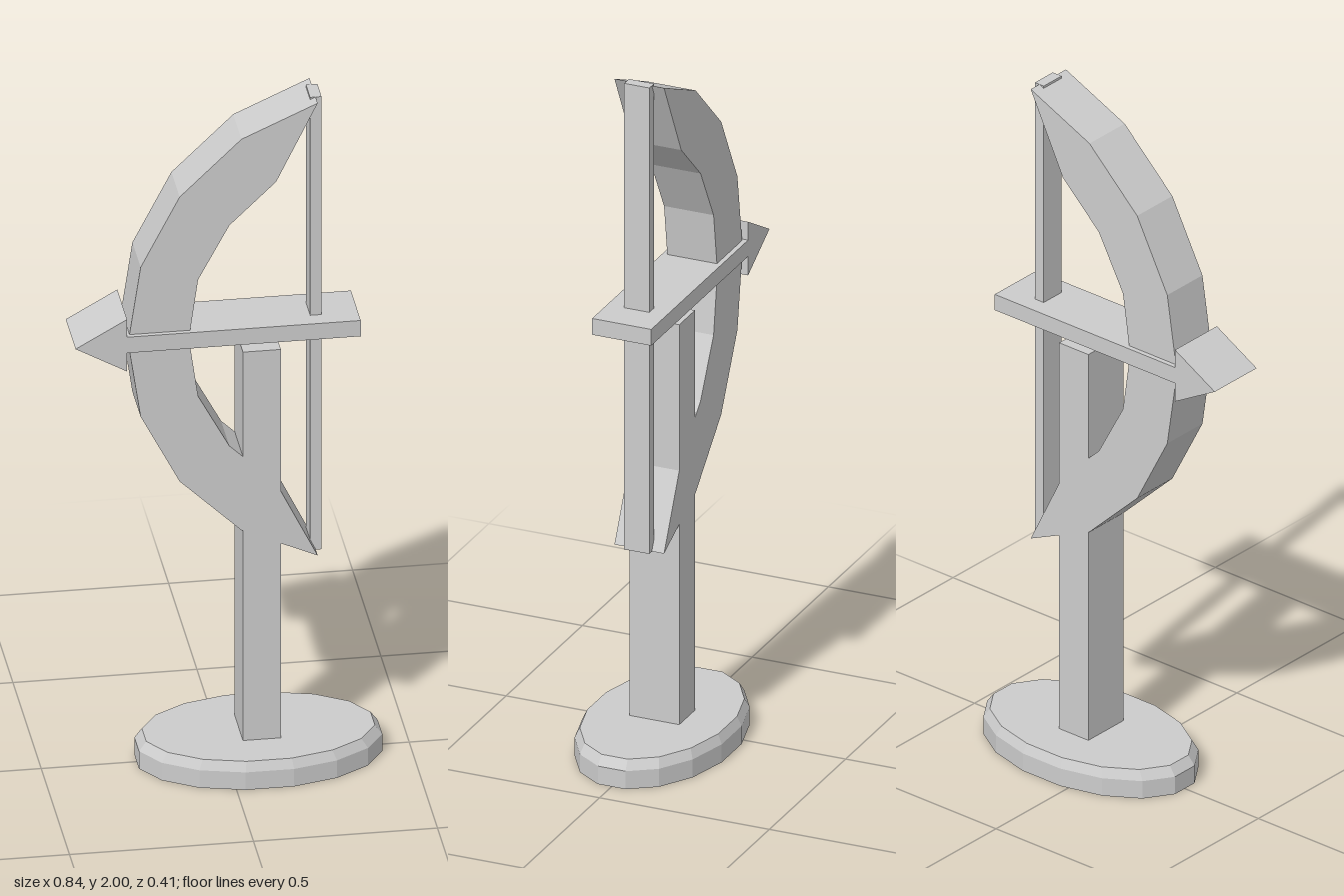
import * as THREE from 'three';

export function createModel() {
  const model = new THREE.Group();
  model.name = 'bowStatue';
  const grey = new THREE.MeshStandardMaterial({ color: 0xcccccc, flatShading: true });
  grey.name = 'light grey';

  const add = (name, geometry) => {
    const mesh = new THREE.Mesh(geometry, grey);
    mesh.name = name;
    model.add(mesh);
    return mesh;
  };
  const box = (name, x0, x1, y0, y1, halfDepth) =>
    add(name, new THREE.BoxGeometry(x1 - x0, y1 - y0, halfDepth * 2))
      .position.set((x0 + x1) / 2, (y0 + y1) / 2, 0);
  // Flat outline in x/y, extruded evenly about z = 0
  const slab = (name, points, halfDepth) => {
    const shape = new THREE.Shape(points.map(([x, y]) => new THREE.Vector2(x, y)));
    const geometry = new THREE.ExtrudeGeometry(shape, { depth: halfDepth * 2, bevelEnabled: false });
    add(name, geometry.translate(0, 0, -halfDepth));
  };

  // Oval base with a chamfered rim
  const rim = [[0, 0], [1, 0], [1, 0.053], [0.94, 0.08], [0, 0.08]];
  const base = new THREE.LatheGeometry(rim.map(([r, y]) => new THREE.Vector2(r, y)), 16);
  base.rotateY(Math.PI / 16).scale(0.337, 1, 0.209).translate(0.09, 0, 0);
  add('base', base);

  // Upright post
  box('post', 0.037, 0.14, 0.07, 1.26, 0.073);

  // Bow: upper half outline mirrored about the arrow line
  const mid = 1.313;
  const mirror = (pts) => pts.map(([x, y]) => [x, 2 * mid - y]).reverse();
  const outer = [[0.24, 2], [0.033, 1.907], [-0.135, 1.745], [-0.241, 1.54]];
  const inner = [[-0.085, 1.49], [0, 1.648], [0.127, 1.77]];
  slab('bow', [
    ...outer, [-0.275, mid], ...mirror(outer),
    ...mirror(inner), [-0.11, mid], ...inner,
  ], 0.073);

  // Bowstring
  box('bowstring', 0.225, 0.256, 0.625, 2, 0.037);

  // Arrow
  box('arrowShaft', -0.28, 0.355, 1.29, 1.338, 0.087);
  slab('arrowHead', [[-0.42, mid], [-0.28, 1.234], [-0.28, 1.392]], 0.087);

  return model;
}
